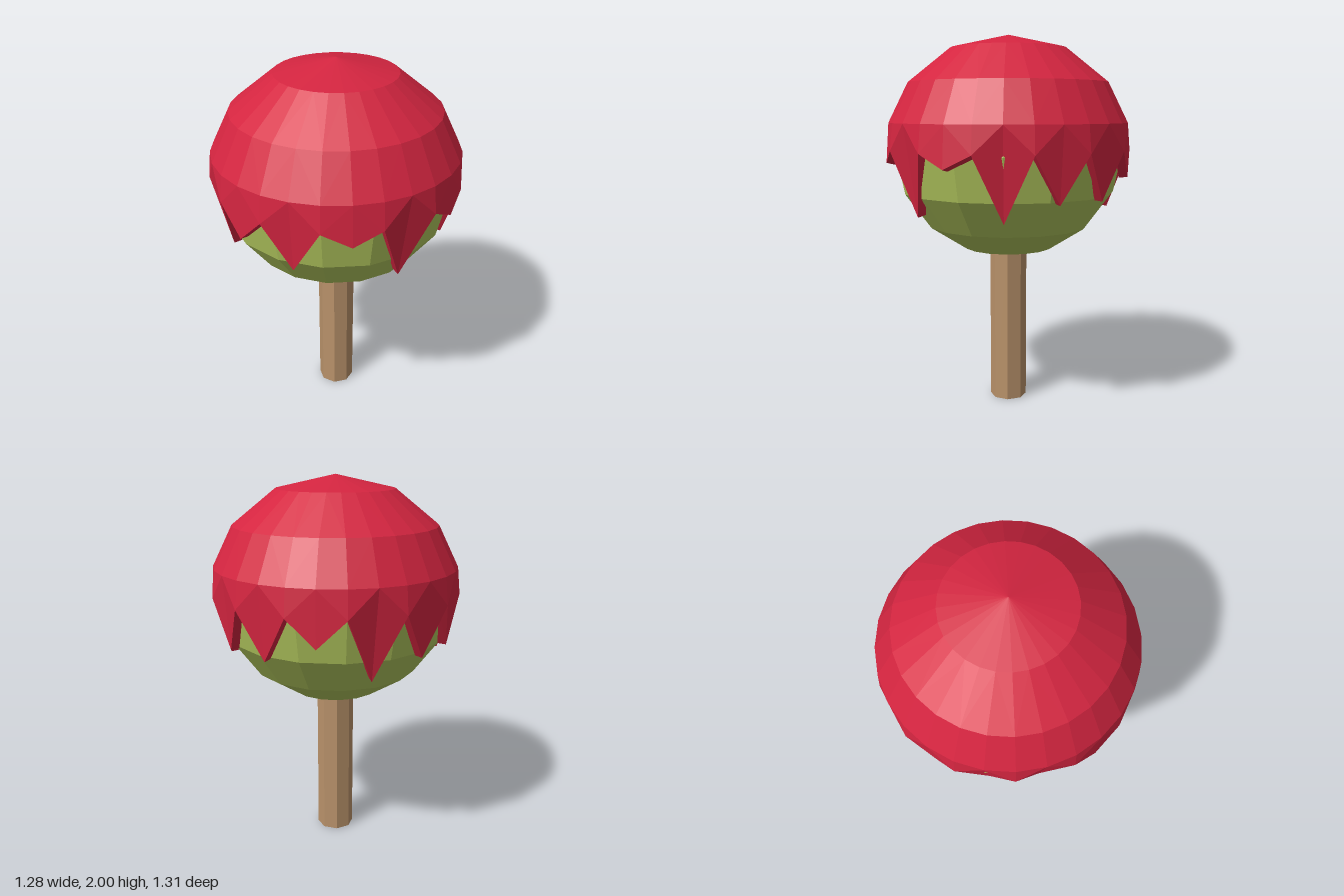
import * as THREE from 'three';

const apple = new THREE.MeshStandardMaterial({ color: 0xafc45c });
apple.name = 'appleGreen';
const candy = new THREE.MeshStandardMaterial({ color: 0xd42540 });
candy.name = 'candyRed';
const wood = new THREE.MeshStandardMaterial({ color: 0xb9926a });
wood.name = 'stickWood';

// Faceted mesh: every face gets its own flat normal
function faceted(name, geometry, material) {
  const flat = geometry.index ? geometry.toNonIndexed() : geometry;
  flat.computeVertexNormals();
  const mesh = new THREE.Mesh(flat, material);
  mesh.name = name;
  return mesh;
}

// Candy shell: rings of 28 columns; odd columns of the rim hang down as drips
function candyShell() {
  const N = 28;
  const tips = [1.33, 1.07, 1.33, 1.07, 1.16, 1.16, 1.26, 1.07, 1.16, 1.16, 1.07, 1.07, 1.26, 1.16];
  const tipRadius = { 1.33: 0.655, 1.26: 0.645, 1.16: 0.61, 1.07: 0.565 };
  const rim = (k) => {
    if (k % 2 === 0) return [0.655, 1.4];
    const y = tips[(k - 1) / 2];
    return [tipRadius[y], y];
  };
  const rows = [
    () => [0, 2],
    () => [0.31, 1.93],
    () => [0.535, 1.75],
    () => [0.64, 1.54],
    rim,
    (k) => { const [r, y] = rim(k); return [r - 0.045, y - (y - 1.2) * 0.08]; }, // rim thickness
    () => [0.575, 1.53], // inside
  ];
  const point = (row, k) => {
    const c = k % N, [r, y] = rows[row](c), a = (c / N) * Math.PI * 2;
    return [r * Math.sin(a), y, r * Math.cos(a)];
  };
  const pos = [];
  for (let i = 0; i < rows.length - 1; i++) {
    for (let k = 0; k < N; k++) {
      const u0 = point(i, k), u1 = point(i, k + 1);
      const l0 = point(i + 1, k), l1 = point(i + 1, k + 1);
      // diagonals run from the drip column to the notch column
      const tris = k % 2 === 0 ? [u0, l0, u1, u1, l0, l1] : [u0, l0, l1, u0, l1, u1];
      pos.push(...tris.flat());
    }
  }
  const g = new THREE.BufferGeometry();
  g.setAttribute('position', new THREE.Float32BufferAttribute(pos, 3));
  return g;
}

export function createModel() {
  const group = new THREE.Group();
  group.name = 'candyApple';

  // Apple body
  const profile = [
    [0, 0.825], [0.24, 0.86], [0.435, 0.985], [0.572, 1.17], [0.619, 1.39],
    [0.572, 1.61], [0.435, 1.79], [0.24, 1.92], [0, 1.95],
  ].map(([x, y]) => new THREE.Vector2(x, y));
  group.add(faceted('apple', new THREE.LatheGeometry(profile, 16), apple));

  // Dripping candy coat
  group.add(faceted('candyCoat', candyShell(), candy));

  // Octagonal stick
  const stick = new THREE.CylinderGeometry(0.1, 0.1, 0.88, 8);
  stick.translate(0, 0.44, 0);
  group.add(faceted('stick', stick, wood));

  return group;
}
